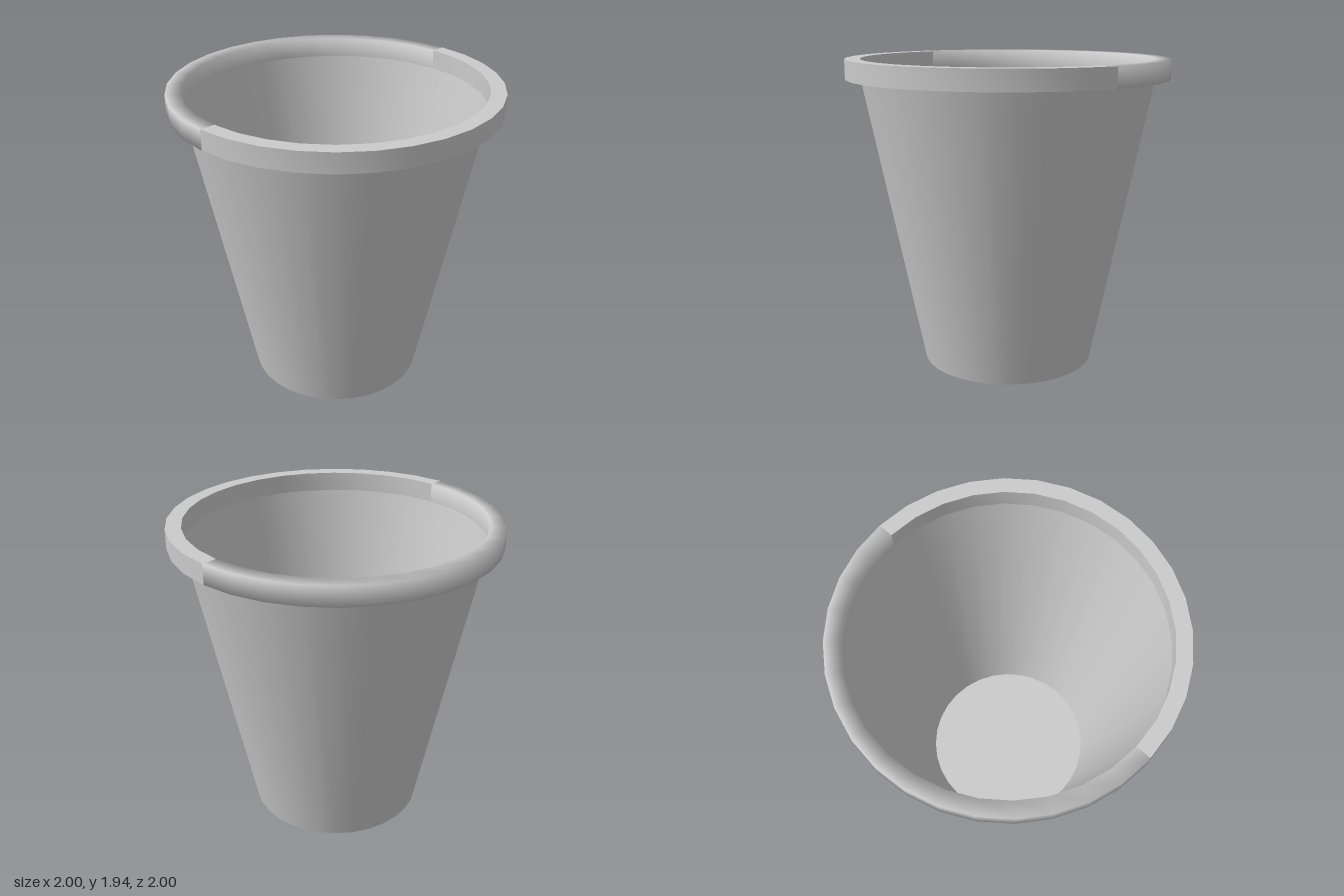
import * as THREE from 'three';
import { toCreasedNormals } from 'three/addons/utils/BufferGeometryUtils.js';

const SIDES = 32;
const FLOOR_R = 0.545, WALL_R = 0.907, RIM_R = 1;
const RIM_BOTTOM = 1.82, RIM_TOP = 1.94;

export function createModel() {
  const model = new THREE.Group();
  model.name = 'cup';
  const solid = new THREE.MeshStandardMaterial({ color: 0xcccccc });
  const thin = new THREE.MeshStandardMaterial({ color: 0xcccccc, side: THREE.DoubleSide });

  const add = (name, geometry, material) => {
    const mesh = new THREE.Mesh(geometry, material);
    mesh.name = name;
    model.add(mesh);
    return mesh;
  };
  const lathe = (profile, segments, start = 0, sweep = Math.PI * 2) =>
    new THREE.LatheGeometry(profile.map(([r, y]) => new THREE.Vector2(r, y)), segments, start, sweep);

  // Thin tapered wall, open at the top
  add('wall', lathe([[FLOOR_R, 0], [WALL_R, RIM_BOTTOM]], SIDES), thin);

  // Flat floor closing the bottom
  add('floor', new THREE.CircleGeometry(FLOOR_R, SIDES).rotateX(-Math.PI / 2), thin);

  // Rim band in two halves: crisp edges on the left, softly shaded on the right
  const band = [
    [WALL_R, RIM_BOTTOM], [RIM_R, RIM_BOTTOM], [RIM_R, RIM_TOP],
    [WALL_R, RIM_TOP], [WALL_R, RIM_BOTTOM],
  ];
  const crisp = lathe(band, SIDES / 2, 0, Math.PI);
  add('rimLeft', toCreasedNormals(crisp, Math.PI / 6), solid);
  add('rimRight', lathe(band, SIDES / 2, Math.PI, Math.PI), solid);

  return model;
}
